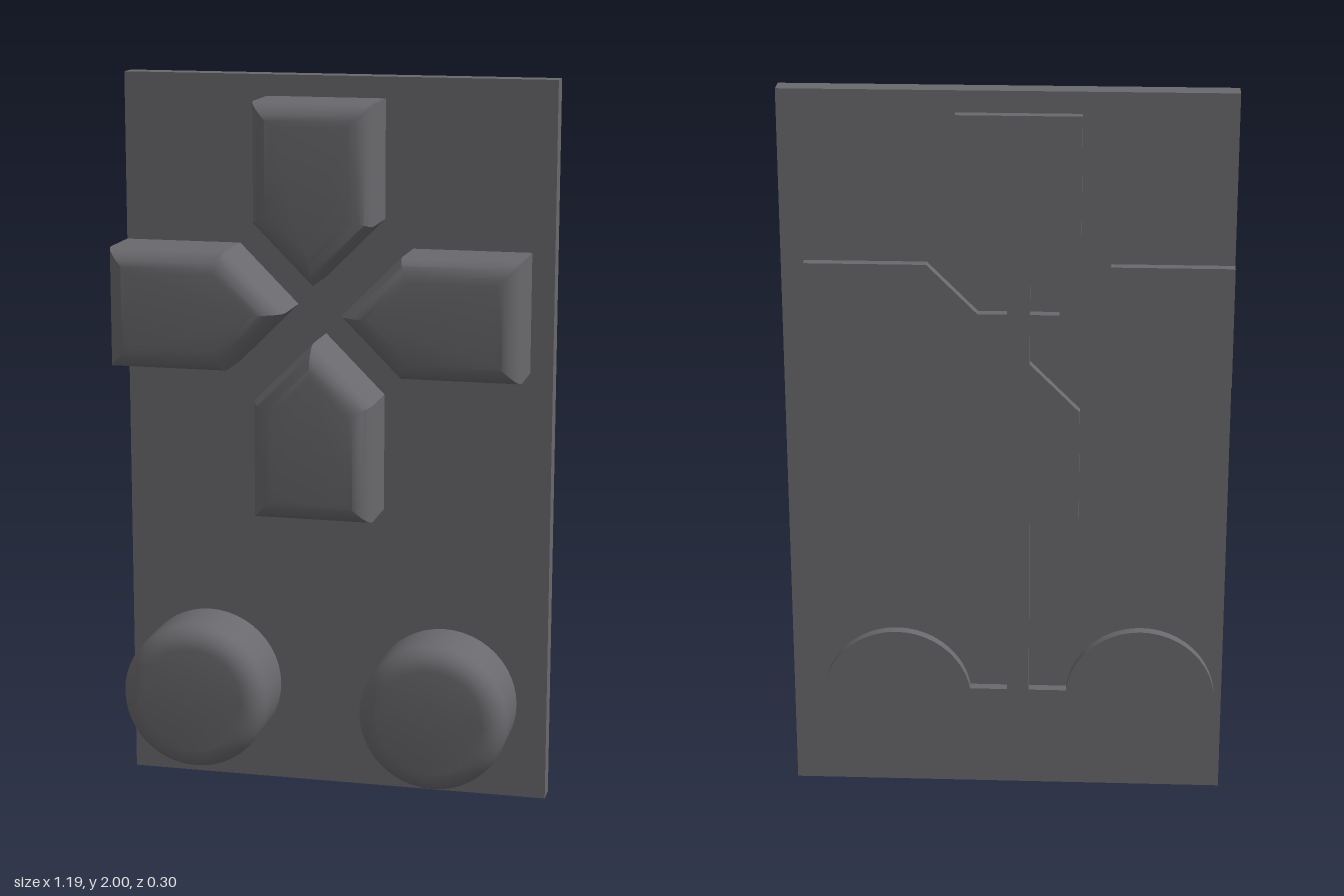
import * as THREE from 'three';
import { toCreasedNormals } from 'three/addons/utils/BufferGeometryUtils.js';

const BACK = -0.148, FRONT = 0.148, FILLET = 0.06;
const material = new THREE.MeshStandardMaterial({ color: 0x69696d });

// Move every edge of a convex counter-clockwise outline inwards by d (mitred corners)
function inset(points, d) {
  const n = points.length;
  return points.map((p, i) => {
    const a = p.clone().sub(points[(i + n - 1) % n]).normalize();
    const b = points[(i + 1) % n].clone().sub(p).normalize();
    const n1 = new THREE.Vector2(-a.y, a.x), n2 = new THREE.Vector2(-b.y, b.x);
    return n1.clone().add(n2).multiplyScalar(d / (1 + n1.dot(n2))).add(p);
  });
}

// Prism along z with a flat back and a rounded front rim
function buttonGeometry(outline) {
  const n = outline.length, steps = 6, pos = [], index = [];
  const addRing = (pts, z) => pts.forEach(p => pos.push(p.x, p.y, z));
  addRing(outline, BACK);
  for (let s = 0; s <= steps; s++) {
    const t = (s / steps) * Math.PI / 2;
    addRing(inset(outline, FILLET * (1 - Math.cos(t))), FRONT - FILLET * (1 - Math.sin(t)));
  }
  const last = (steps + 1) * n;
  for (let r = 0; r < last; r += n) {
    for (let i = 0; i < n; i++) {
      const j = (i + 1) % n;
      index.push(r + i, r + j, r + n + j, r + i, r + n + j, r + n + i);
    }
  }
  for (let i = 1; i < n - 1; i++) {
    index.push(0, i + 1, i, last, last + i, last + i + 1);
  }
  const g = new THREE.BufferGeometry();
  g.setAttribute('position', new THREE.Float32BufferAttribute(pos, 3));
  g.setIndex(index);
  return toCreasedNormals(g, 0.5);
}

export function createModel() {
  const group = new THREE.Group();
  const add = (name, geometry, x, y, z = 0) => {
    const mesh = new THREE.Mesh(geometry, material);
    mesh.name = name;
    mesh.position.set(x, y, z);
    group.add(mesh);
    return mesh;
  };

  // Backing plate
  add('plate', new THREE.BoxGeometry(1.194, 2, 0.06), 0, 1, -0.089);

  // Four direction buttons pointing at the centre of the cross
  const cx = -0.031, cy = 1.376;
  const arrow = [[0, 0.078], [0.164, 0.242], [0.164, 0.566], [-0.164, 0.566], [-0.164, 0.242]]
    .map(([x, y]) => new THREE.Vector2(x, y));
  const arrowGeometry = buttonGeometry(arrow);
  ['upButton', 'leftArmButton', 'downButton', 'rightArmButton'].forEach((name, i) => {
    add(name, arrowGeometry, cx, cy).rotation.z = i * Math.PI / 2;
  });

  // Two round buttons
  const circle = Array.from({ length: 48 }, (_, i) => {
    const a = (i / 48) * Math.PI * 2;
    return new THREE.Vector2(0.207 * Math.cos(a), 0.207 * Math.sin(a));
  });
  const roundGeometry = buttonGeometry(circle);
  add('roundButtonRight', roundGeometry, -0.37, 0.281);
  add('roundButtonLeft', roundGeometry, 0.306, 0.268);

  // Raised strips joining the buttons on the back
  const depth = 0.06, z = BACK + depth / 2, w = 0.06;
  const strip = (name, x, y, sx, sy) => add(name, new THREE.BoxGeometry(sx, sy, depth), x, y, z);
  strip('crossStripHorizontal', cx, cy, 0.26, w);
  strip('crossStripVertical', cx, cy, w, 0.26);
  strip('stemStrip', cx, 0.545, w, 0.55);
  strip('lowerStrip', cx, 0.275, 0.32, w);

  return group;
}
